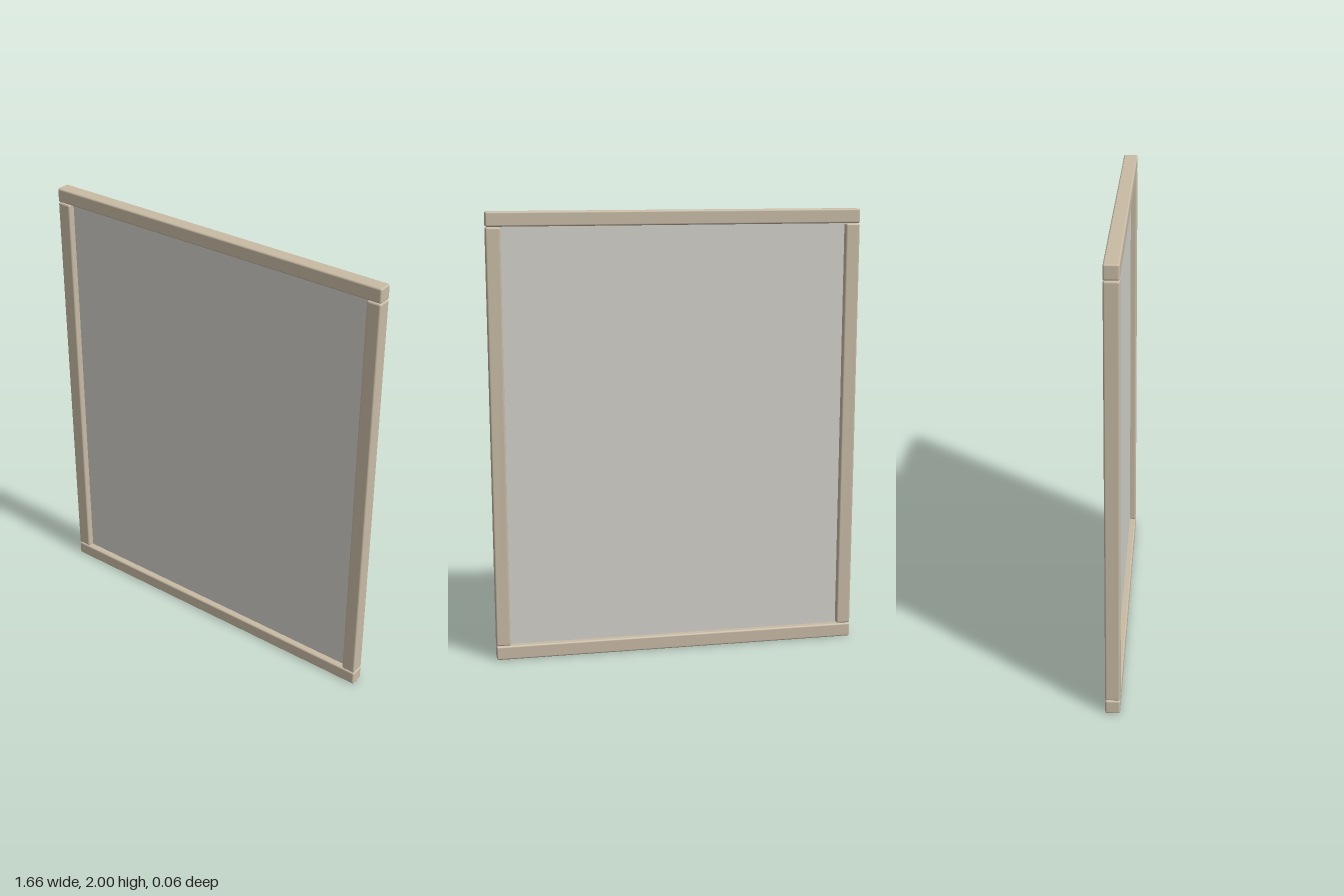
import * as THREE from 'three';
import { RoundedBoxGeometry } from 'three/addons/geometries/RoundedBoxGeometry.js';

const WIDTH = 1.66, HEIGHT = 2, BAR = 0.064, GAP = 0.002;

export function createModel() {
  const group = new THREE.Group();
  group.name = 'framedPanel';
  const wood = new THREE.MeshStandardMaterial({ color: 0xc8bba5 });
  const sheet = new THREE.MeshStandardMaterial({ color: 0xd2d1cb });

  const add = (name, geometry, material, x, y) => {
    const mesh = new THREE.Mesh(geometry, material);
    mesh.name = name;
    mesh.position.set(x, y, 0);
    group.add(mesh);
  };

  // Full-width rails at the top and bottom
  const rail = new RoundedBoxGeometry(WIDTH, BAR, BAR, 3, 0.008);
  add('bottomRail', rail, wood, 0, BAR / 2);
  add('topRail', rail, wood, 0, HEIGHT - BAR / 2);

  // Upright stiles between the rails, with a hairline joint
  const stile = new RoundedBoxGeometry(BAR, HEIGHT - 2 * (BAR + GAP), BAR, 3, 0.008);
  add('leftStile', stile, wood, (WIDTH - BAR) / 2, HEIGHT / 2);
  add('rightStile', stile, wood, -(WIDTH - BAR) / 2, HEIGHT / 2);

  // Thin sheet in the middle of the frame's depth
  const panel = new THREE.BoxGeometry(WIDTH - 2 * BAR + 0.004, HEIGHT - 2 * BAR + 0.004, 0.006);
  add('panel', panel, sheet, 0, HEIGHT / 2);

  return group;
}
